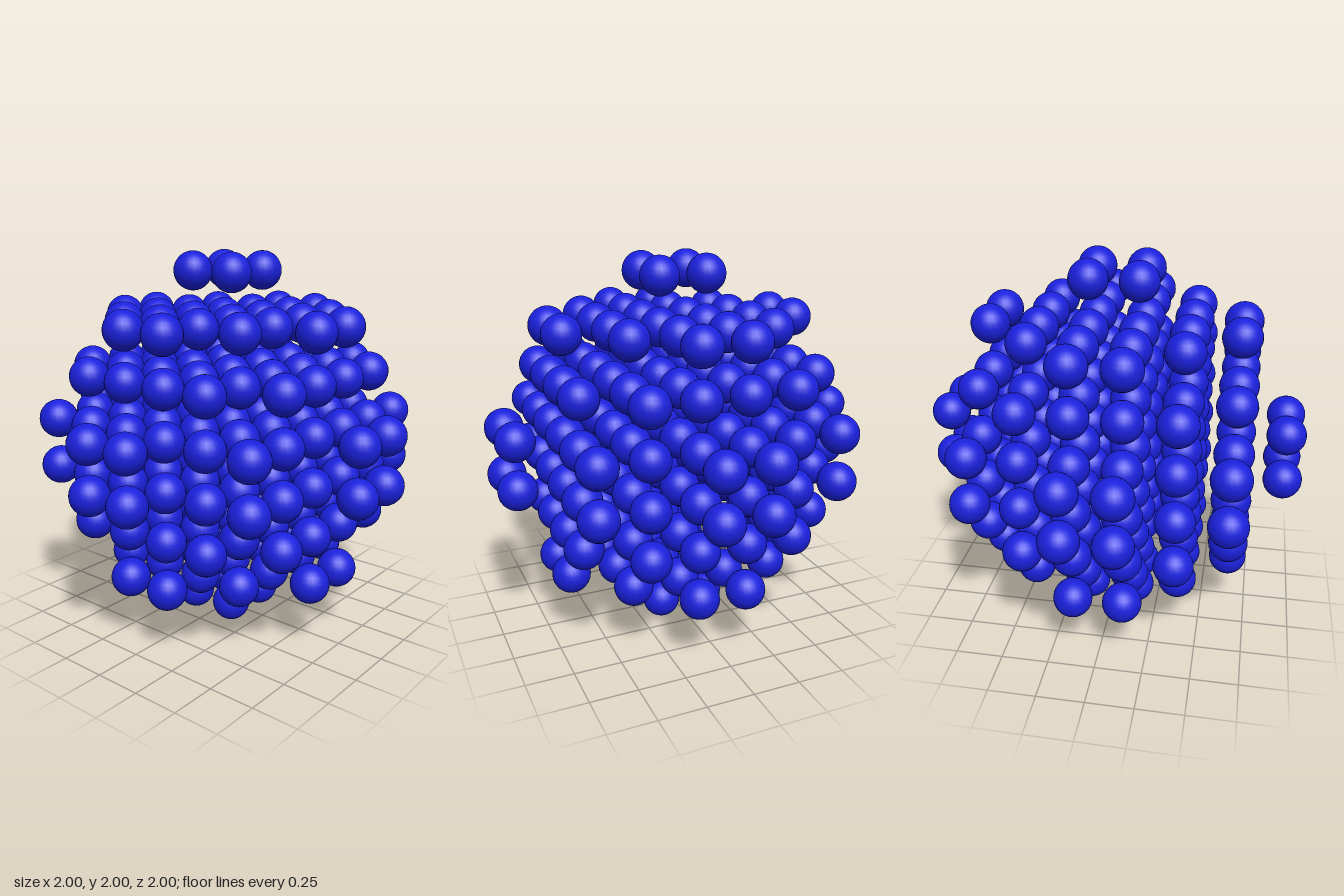
import * as THREE from 'three';

const RADIUS = 0.102;                 // ball radius
const SPACING = (1 - RADIUS) / 3.5;   // cubic lattice step
const LIMIT = 14;                     // squared cluster radius in lattice steps

export function createModel() {
  const model = new THREE.Group();
  model.name = 'ballCluster';

  const ballGeometry = new THREE.SphereGeometry(RADIUS, 24, 14);
  const blue = new THREE.MeshStandardMaterial({ color: 0x1a20dc });

  // Horizontal layers of balls on a cubic lattice, trimmed to a round cluster
  for (let y = -3.5; y <= 3.5; y++) {
    const layer = new THREE.Group();
    layer.name = `layer${y + 4.5}`;
    layer.position.y = 1 + y * SPACING;
    for (let x = -3.5; x <= 3.5; x++) {
      for (let z = -3.5; z <= 3.5; z++) {
        if (x * x + y * y + z * z > LIMIT) continue;
        const ball = new THREE.Mesh(ballGeometry, blue);
        ball.name = 'ball';
        ball.position.set(x * SPACING, 0, z * SPACING);
        layer.add(ball);
      }
    }
    model.add(layer);
  }
  return model;
}
